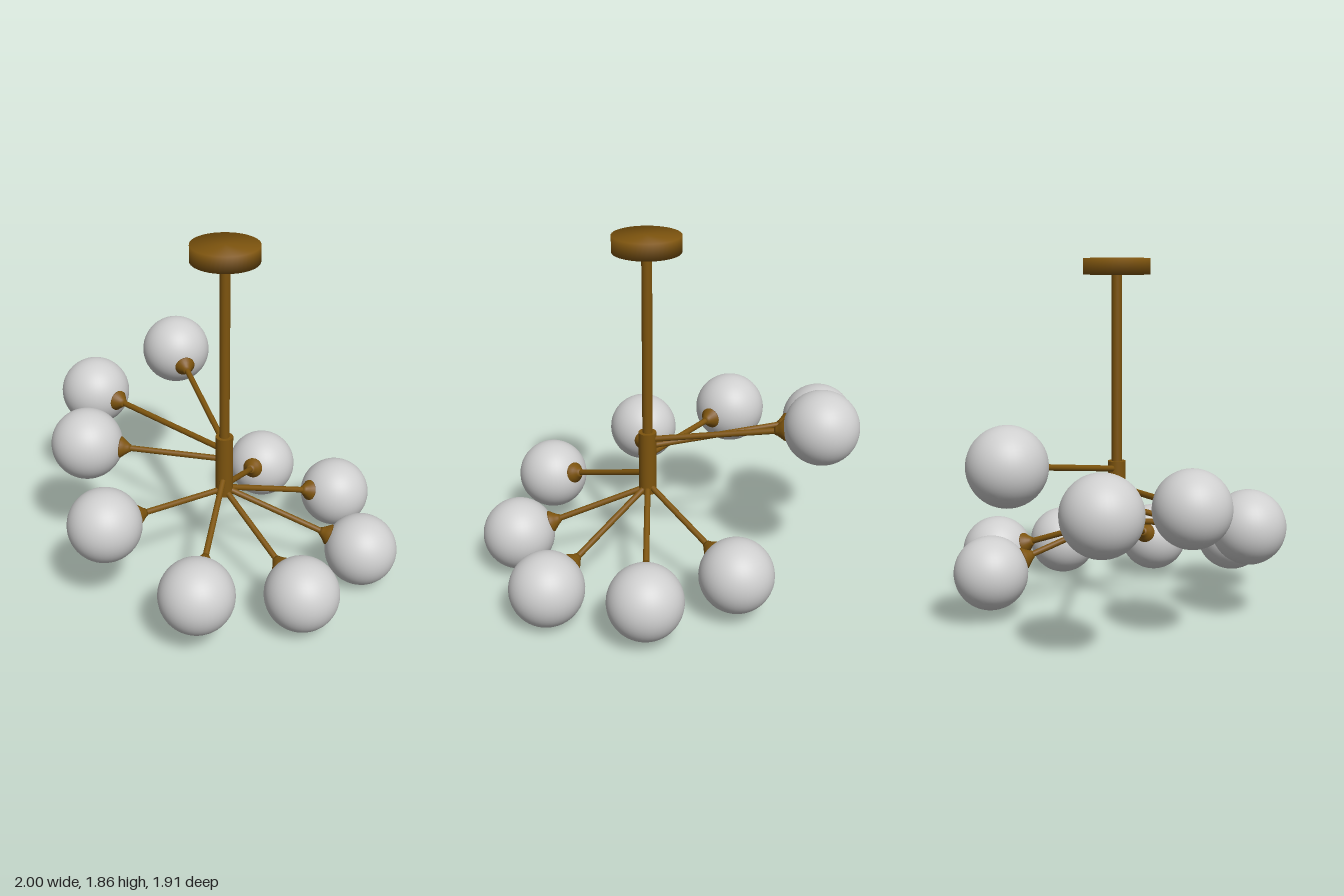
import * as THREE from 'three';
import { mergeVertices } from 'three/addons/utils/BufferGeometryUtils.js';

const CX = 0.05, CZ = 0.025, GLOBE_R = 0.193;

// globe centre x, y, z and the height where its arm leaves the hub
const LAMPS = [
  [-0.39, 0.91, -0.765, 0.76],
  [-0.807, 0.735, -0.484, 0.72],
  [-0.70, 0.69, 0.045, 0.665],
  [-0.476, 0.503, 0.515, 0.48],
  [0.05, 0.316, 0.755, 0.565],
  [0.543, 0.222, 0.522, 0.48],
  [0.803, 0.198, 0.045, 0.49],
  [0.612, 0.235, -0.445, 0.49],
  [0.153, 0.25, -0.655, 0.5],
];

export function createModel() {
  const brass = new THREE.MeshStandardMaterial({ color: 0x7d540e });
  brass.name = 'brass';
  const glass = new THREE.MeshStandardMaterial({ color: 0xcfcfcf });
  glass.name = 'frosted glass';

  const group = new THREE.Group();
  group.name = 'chandelier';

  const add = (parent, name, geometry, material, x, y, z) => {
    const mesh = new THREE.Mesh(geometry, material);
    mesh.name = name;
    mesh.position.set(x, y, z);
    parent.add(mesh);
    return mesh;
  };

  // vertical cylinder on the central axis
  const column = (name, radius, bottom, top) =>
    add(group, name, new THREE.CylinderGeometry(radius, radius, top - bottom, 48),
      brass, CX, (bottom + top) / 2, CZ);

  // ceiling canopy with softly shaded caps, stem and hub
  const canopy = column('canopy', 0.175, 1.78, 1.865);
  canopy.geometry.deleteAttribute('normal');
  canopy.geometry.deleteAttribute('uv');
  canopy.geometry = mergeVertices(canopy.geometry);
  canopy.geometry.computeVertexNormals();
  column('stem', 0.027, 0.78, 1.79);
  column('hub', 0.047, 0.45, 0.803);

  const globeGeometry = new THREE.SphereGeometry(GLOBE_R, 40, 28);
  const cupGeometry = new THREE.LatheGeometry([
    [0, 0], [0.02, 0], [0.026, 0.012], [0.04, 0.03], [0.057, 0.05], [0.057, 0.062], [0, 0.062],
  ].map(([r, y]) => new THREE.Vector2(r, y)), 24);
  const up = new THREE.Vector3(0, 1, 0);

  // each lamp is a straight arm, a flared cup and a globe
  for (const [x, y, z, hubY] of LAMPS) {
    const lamp = new THREE.Group();
    lamp.name = 'lamp';
    group.add(lamp);
    const start = new THREE.Vector3(CX, hubY, CZ);
    const centre = new THREE.Vector3(x, y, z);
    const dir = centre.clone().sub(start).normalize();
    const cupBase = centre.clone().addScaledVector(dir, -0.24);
    const middle = start.clone().add(cupBase).multiplyScalar(0.5);
    const length = start.distanceTo(cupBase) + 0.01;

    add(lamp, 'arm', new THREE.CylinderGeometry(0.016, 0.016, length, 16), brass, ...middle)
      .quaternion.setFromUnitVectors(up, dir);
    add(lamp, 'cup', cupGeometry, brass, ...cupBase).quaternion.setFromUnitVectors(up, dir);
    add(lamp, 'globe', globeGeometry, glass, x, y, z);
  }
  return group;
}
